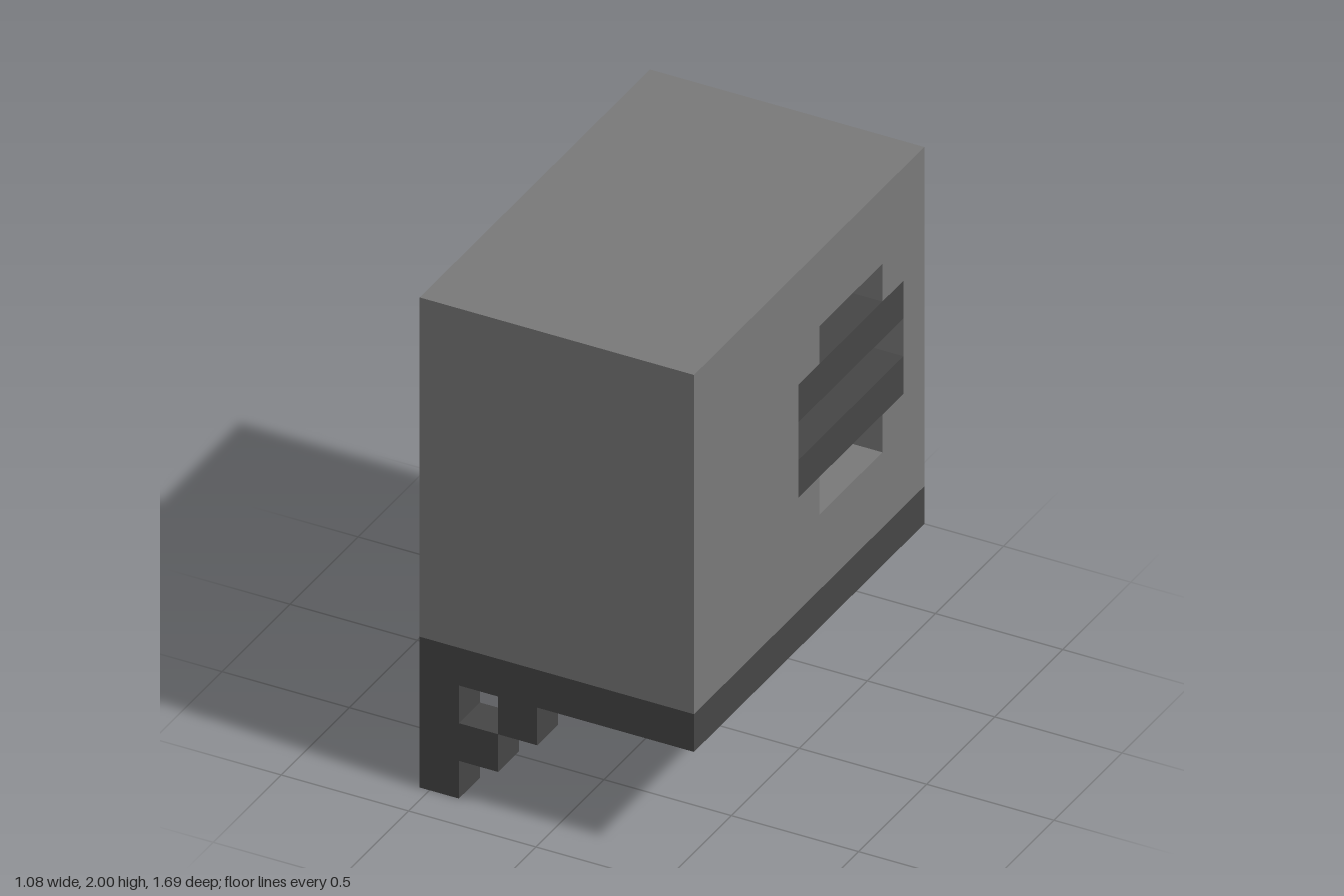
import * as THREE from 'three';

const U = 2 / 13; // one block of the model's grid

export function createModel() {
  const casingGrey = new THREE.MeshStandardMaterial({ color: 0x797979 });
  casingGrey.name = 'casingGrey';
  const darkGrey = new THREE.MeshStandardMaterial({ color: 0x464646 });
  darkGrey.name = 'darkGrey';

  const model = new THREE.Group();
  model.name = 'wallUnit';

  // Box between two corners, given in blocks
  const block = (name, material, [x0, y0, z0], [x1, y1, z1]) => {
    const geo = new THREE.BoxGeometry((x1 - x0) * U, (y1 - y0) * U, (z1 - z0) * U);
    const mesh = new THREE.Mesh(geo, material);
    mesh.position.set((x0 + x1) / 2 * U, (y0 + y1) / 2 * U, (z0 + z1) / 2 * U);
    mesh.name = name;
    model.add(mesh);
  };

  // Casing and its dark base
  block('casing', casingGrey, [-3.5, 4, -5.5], [2.5, 13, 5.5]);
  block('base', darkGrey, [-3.5, 3, -5.5], [3.5, 4, 5.5]);

  // Side panel with a cross-shaped fan opening, one block deep
  const points = (list) => list.map(([x, y]) => new THREE.Vector2(x * U, y * U));
  const panel = new THREE.Shape(points([[-5.5, 4], [5.5, 4], [5.5, 13], [-5.5, 13]]));
  panel.holes.push(new THREE.Path(points([
    [0.5, 6], [0.5, 7], [-0.5, 7], [-0.5, 10], [0.5, 10], [0.5, 11],
    [3.5, 11], [3.5, 10], [4.5, 10], [4.5, 7], [3.5, 7], [3.5, 6],
  ])));
  const panelGeo = new THREE.ExtrudeGeometry(panel, { depth: U, bevelEnabled: false });
  panelGeo.rotateY(Math.PI / 2).translate(2.5 * U, 0, 0);
  const fanPanel = new THREE.Mesh(panelGeo, casingGrey);
  fanPanel.name = 'fanPanel';
  model.add(fanPanel);

  // Two grille slats flush with the panel
  for (const y of [7, 9]) block('grilleSlat', darkGrey, [2.5, y, -4.5], [3.5, y + 1, 0.5]);

  // Stepped wall brackets at the front and back
  for (const z of [-5.5, 4.5]) {
    block('bracketPost', darkGrey, [-3.5, 0, z], [-2.5, 3, z + 1]);
    block('bracketLowerStep', darkGrey, [-2.5, 1, z], [-1.5, 2, z + 1]);
    block('bracketUpperStep', darkGrey, [-1.5, 2, z], [-0.5, 3, z + 1]);
  }

  return model;
}
